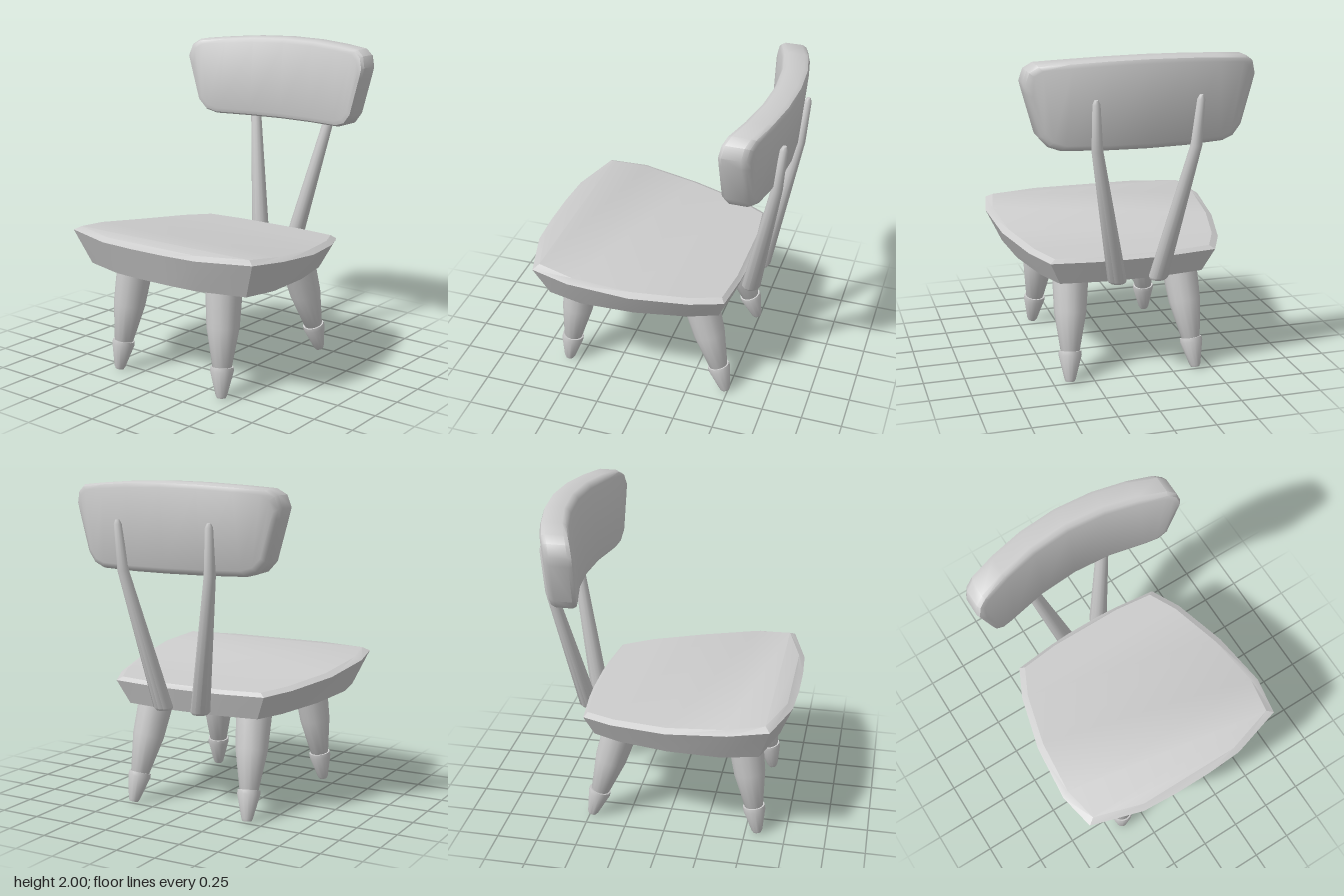
import * as THREE from 'three';
import { toCreasedNormals } from 'three/addons/utils/BufferGeometryUtils.js';

const material = new THREE.MeshStandardMaterial({ color: 0xcccccc });

function addMesh(parent, geometry, name, crease = 0.7) {
  const mesh = new THREE.Mesh(toCreasedNormals(geometry, crease), material);
  mesh.name = name;
  parent.add(mesh);
  return mesh;
}

// Skins a stack of counter-clockwise rings and closes both ends with strips
function loft(rings) {
  const n = rings[0].length;
  const index = [];
  const quad = (a, b, c, d) => index.push(a, b, c, a, c, d);
  for (let r = 0; r < rings.length - 1; r++) {
    for (let i = 0; i < n; i++) {
      const a = r * n + i, b = r * n + (i + 1) % n;
      quad(a, b, b + n, a + n);
    }
  }
  const end = (rings.length - 1) * n;
  for (let i = 0; i < n / 2 - 1; i++) {
    const j = n - 1 - i;
    quad(j, j - 1, i + 1, i);
    quad(end + i, end + i + 1, end + j - 1, end + j);
  }
  const geometry = new THREE.BufferGeometry();
  geometry.setAttribute('position', new THREE.Float32BufferAttribute(rings.flat(2), 3));
  geometry.setIndex(index);
  return geometry;
}

// Piecewise linear height of the seat's upper surface along z
function seatTop(z) {
  const p = [[-0.55, 0.782], [0.05, 0.83], [0.62, 0.9], [0.8, 0.886]];
  let i = 0;
  while (i < p.length - 2 && z > p[i + 1][0]) i++;
  return THREE.MathUtils.mapLinear(z, p[i][0], p[i + 1][0], p[i][1], p[i + 1][1]);
}

function seatGeometry() {
  const half = [[0.12, 0.77], [0.35, 0.757], [0.68, 0.66], [0.725, 0.42], [0.69, 0.05],
    [0.6, -0.3], [0.51, -0.49], [0.25, -0.52], [0.12, -0.528]];
  const outline = [...half, ...half.map(([x, z]) => [-x, z]).reverse()];
  const ring = (sx, sz, height) =>
    outline.map(([x, z]) => [x * sx, height(z * sz, Math.abs(x)), z * sz]);
  return loft([
    ring(0.87, 0.9, (z) => 0.64 + 0.04 * z),
    ring(1, 1, (z) => seatTop(z) - 0.02),
    ring(0.94, 0.955, (z, x) => seatTop(z) - (x < 0.2 ? 0.008 : 0)),
  ]);
}

// Backrest: a rounded panel, bent around the sitter and leaning back
function backrestGeometry() {
  const bottom = [[0, 1.475], [0.24, 1.475], [0.48, 1.477], [0.55, 1.5], [0.6, 1.56], [0.665, 1.8]];
  const top = [[0, 2], [0.24, 1.994], [0.45, 1.98], [0.61, 1.965], [0.66, 1.93], [0.68, 1.86]];
  const mirror = (h) => [...h.slice(1).map(([x, y]) => [-x, y]).reverse(), ...h];
  const outline = [...mirror(bottom), ...mirror(top).reverse()];
  const midY = 1.74;
  const ring = (inset, base, bend) => outline.map(([x, y]) => {
    const px = x * (1 - inset / 0.68);
    const py = midY + (y - midY) * (1 - inset / 0.26);
    return [px, py, base + bend * px * px - 0.085 * (py - 1.475)];
  });
  return loft([
    ring(0.035, -0.735, 0.28),
    ring(0.011, -0.724, 0.28),
    ring(0, -0.7, 0.28),
    ring(0, -0.605, 0.31),
    ring(0.011, -0.581, 0.31),
    ring(0.035, -0.57, 0.31),
  ]);
}

// Back post: tapering round rod, kinked where it meets the backrest
function postGeometry(side) {
  const stations = [[0.125, 0.64, -0.555, 0.048], [0.128, 0.655, -0.558, 0.058],
    [0.29, 1.48, -0.722, 0.034], [0.303, 1.75, -0.752, 0.023], [0.304, 1.775, -0.755, 0.012]];
  const sides = 12;
  return loft(stations.map(([x, y, z, r]) => Array.from({ length: sides }, (_, i) => {
    const t = (i / sides) * Math.PI * 2;
    return [side * x + r * Math.cos(t), y, z - r * Math.sin(t)];
  })));
}

// Splayed leg with a tapered foot cap
function makeLeg(name, foot, top) {
  const leg = new THREE.Group();
  leg.name = name;
  const lathe = (p) => new THREE.LatheGeometry(p.map(([r, y]) => new THREE.Vector2(r, y)), 14);
  addMesh(leg, lathe([[0.05, 0.17], [0.057, 0.18], [0.098, 0.42], [0.112, 0.68], [0, 0.68]]), 'legShaft');
  addMesh(leg, lathe([[0, 0], [0.026, 0], [0.034, 0.015], [0.07, 0.16], [0.068, 0.185], [0, 0.187]]), 'footCap');
  const axis = top.clone().sub(foot).normalize();
  leg.quaternion.setFromUnitVectors(new THREE.Vector3(0, 1, 0), axis);
  leg.position.copy(foot);
  return leg;
}

export function createModel() {
  const chair = new THREE.Group();
  chair.name = 'chair';
  addMesh(chair, seatGeometry(), 'seat', 0.45);
  addMesh(chair, backrestGeometry(), 'backrest');
  for (const [label, s] of [['left', 1], ['right', -1]]) {
    addMesh(chair, postGeometry(s), label + 'BackPost');
    chair.add(makeLeg(label + 'FrontLeg',
      new THREE.Vector3(s * 0.4, 0.006, 0.575), new THREE.Vector3(s * 0.345, 0.65, 0.475)));
    chair.add(makeLeg(label + 'RearLeg',
      new THREE.Vector3(s * 0.4, 0.01, -0.485), new THREE.Vector3(s * 0.345, 0.63, -0.295)));
  }
  return chair;
}
